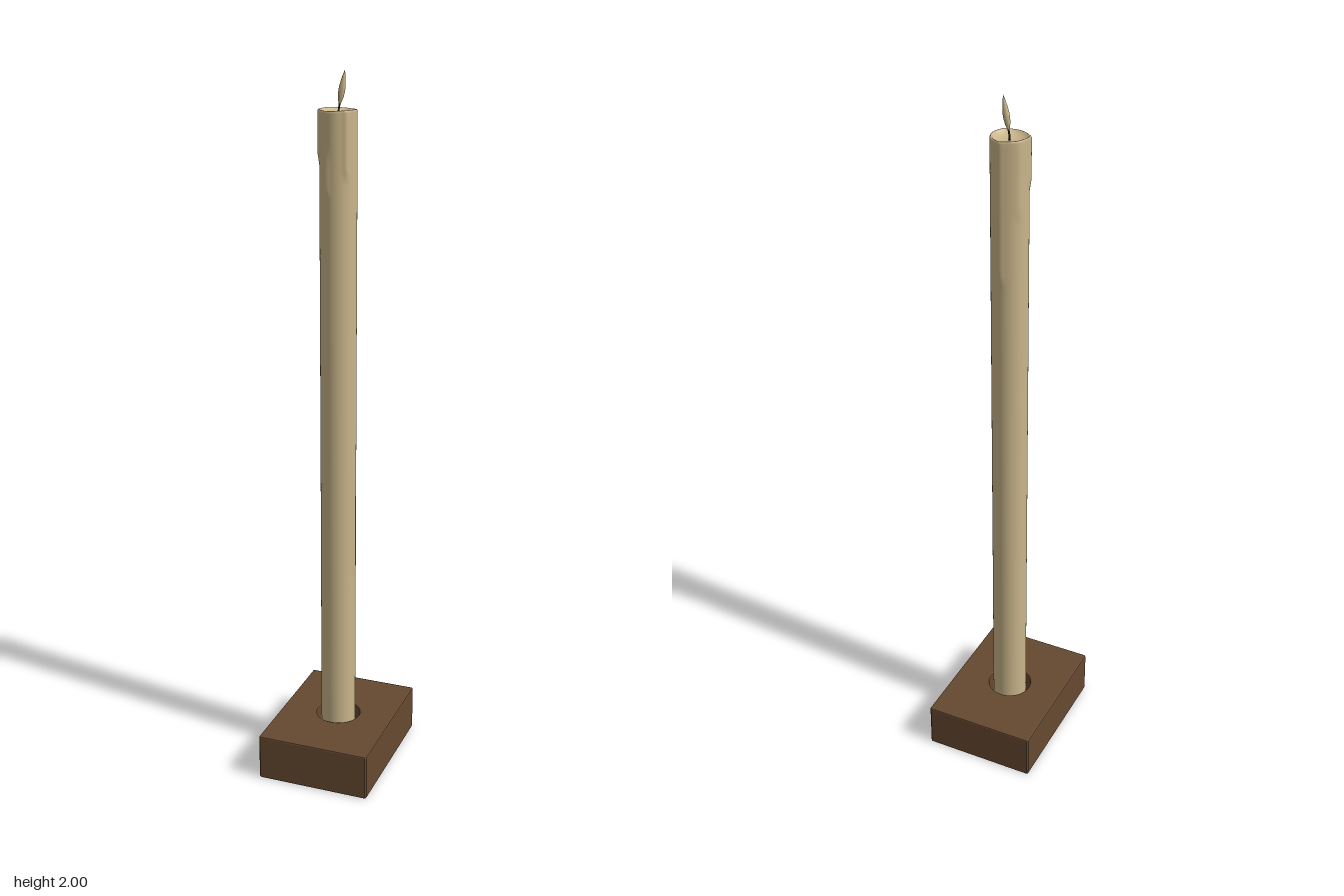
import * as THREE from 'three';
import { mergeVertices } from 'three/addons/utils/BufferGeometryUtils.js';

const wood = new THREE.MeshStandardMaterial({ name: 'brown wood', color: 0x664930 });
const wax = new THREE.MeshStandardMaterial({ name: 'cream wax', color: 0xc9b58a });
const char = new THREE.MeshStandardMaterial({ name: 'burnt wick', color: 0x2b2118 });

const H = 0.135, FLOOR = 0.06, TOP = 1.9;

// Wax runs: angle from +x towards +z, vertical span, thickness, half angle
const drips = [
  { a: 2.85, y0: 1.77, y1: 1.9, t: 0.005, w: 0.22 },
  { a: 1.9, y0: 1.68, y1: 1.82, t: 0.003, w: 0.16 },
  { a: 0.8, y0: 1.73, y1: 1.9, t: 0.004, w: 0.15 },
  { a: 0.1, y0: 0.6, y1: 0.96, t: 0.003, w: 0.18 },
  { a: -1.5, y0: 1.52, y1: 1.9, t: 0.003, w: 0.2 },
  { a: -2.5, y0: 1.7, y1: 1.9, t: 0.002, w: 0.25 },
];

function swell(angle, y) {
  let s = 0;
  for (const d of drips) {
    const da = Math.atan2(Math.sin(angle - d.a), Math.cos(angle - d.a));
    const fade = THREE.MathUtils.smoothstep(y, d.y0 - 0.01, d.y0 + 0.015) *
      (d.y1 >= TOP ? 1 : 1 - THREE.MathUtils.smoothstep(y, d.y1 - 0.08, d.y1));
    s += d.t * fade * Math.exp(-((da / d.w) ** 2));
  }
  return s;
}

// Moves every vertex by a rule, then welds and smooths the normals
function reshape(geometry, rule) {
  const p = geometry.attributes.position, v = new THREE.Vector3();
  for (let i = 0; i < p.count; i++) {
    rule(v.fromBufferAttribute(p, i));
    p.setXYZ(i, v.x, v.y, v.z);
  }
  geometry.deleteAttribute('uv');
  geometry.deleteAttribute('normal');
  const g = mergeVertices(geometry, 1e-5);
  g.computeVertexNormals();
  return g;
}

function add(parent, name, geometry, material) {
  const mesh = new THREE.Mesh(geometry, material);
  mesh.name = name;
  parent.add(mesh);
  return mesh;
}

export function createModel() {
  const model = new THREE.Group();
  model.name = 'candle';

  // Wooden block with a round socket
  const holder = new THREE.Group();
  holder.name = 'holder';
  model.add(holder);
  const b = 0.004, X = 0.165, Z = 0.217;
  const outline = new THREE.Shape([
    [-X + b, -Z], [X - b, -Z], [X, -Z + b], [X, Z - b],
    [X - b, Z], [-X + b, Z], [-X, Z - b], [-X, -Z + b],
  ].map(([x, y]) => new THREE.Vector2(x, y)));
  const hole = new THREE.Path();
  hole.absarc(0, 0, 0.064, 0, Math.PI * 2, true);
  outline.holes.push(hole);
  const block = new THREE.ExtrudeGeometry(outline, {
    depth: H - 2 * b, bevelThickness: b, bevelSize: b, bevelOffset: -b, bevelSegments: 2, curveSegments: 32,
  });
  block.rotateX(-Math.PI / 2).translate(0, b, 0);
  add(holder, 'block', block, wood);
  add(holder, 'socketFloor', new THREE.CylinderGeometry(0.0685, 0.0685, FLOOR, 48).translate(0, FLOOR / 2, 0), wood);

  // Wax column with a rounded rim and a shallow melted dish
  const profile = [];
  for (let i = 0; i <= 120; i++) profile.push(new THREE.Vector2(0.05, FLOOR + (TOP - 0.006 - FLOOR) * i / 120));
  for (const [r, y] of [[0.0497, 1.897], [0.0485, 1.8995], [0.0465, 1.9], [0.0445, 1.8985],
    [0.041, 1.894], [0.03, 1.889], [0.015, 1.887], [0, 1.8865]]) profile.push(new THREE.Vector2(r, y));
  const column = reshape(new THREE.LatheGeometry(profile, 72), (v) => {
    const r = Math.hypot(v.x, v.z);
    if (r < 0.001) return;
    const a = Math.atan2(v.z, v.x);
    const k = 1 + swell(a, v.y) * (r / 0.05) ** 2 / r;
    v.x *= k;
    v.z *= k;
    if (v.y > 1.88) v.y += 0.0015 * Math.sin(2 * a + 0.6) * r / 0.05;
  });
  add(model, 'waxColumn', column, wax);

  // Curved wick
  const wickPath = new THREE.CatmullRomCurve3([
    new THREE.Vector3(0, 1.88, 0), new THREE.Vector3(0.001, 1.9, 0), new THREE.Vector3(0.006, 1.925, 0),
  ]);
  add(model, 'wick', new THREE.TubeGeometry(wickPath, 8, 0.0025, 8), char);

  // Leaning teardrop flame
  const flameProfile = [[0, 1.91], [0.004, 1.917], [0.007, 1.928], [0.009, 1.943], [0.0088, 1.956],
    [0.0065, 1.972], [0.0035, 1.987], [0, 2]].map(([r, y]) => new THREE.Vector2(r, y));
  const flame = reshape(new THREE.LatheGeometry(flameProfile, 24), (v) => {
    v.z *= 0.85;
    v.x += 0.003 + (v.y - 1.91) * 0.165;
  });
  add(model, 'flame', flame, wax);

  return model;
}
